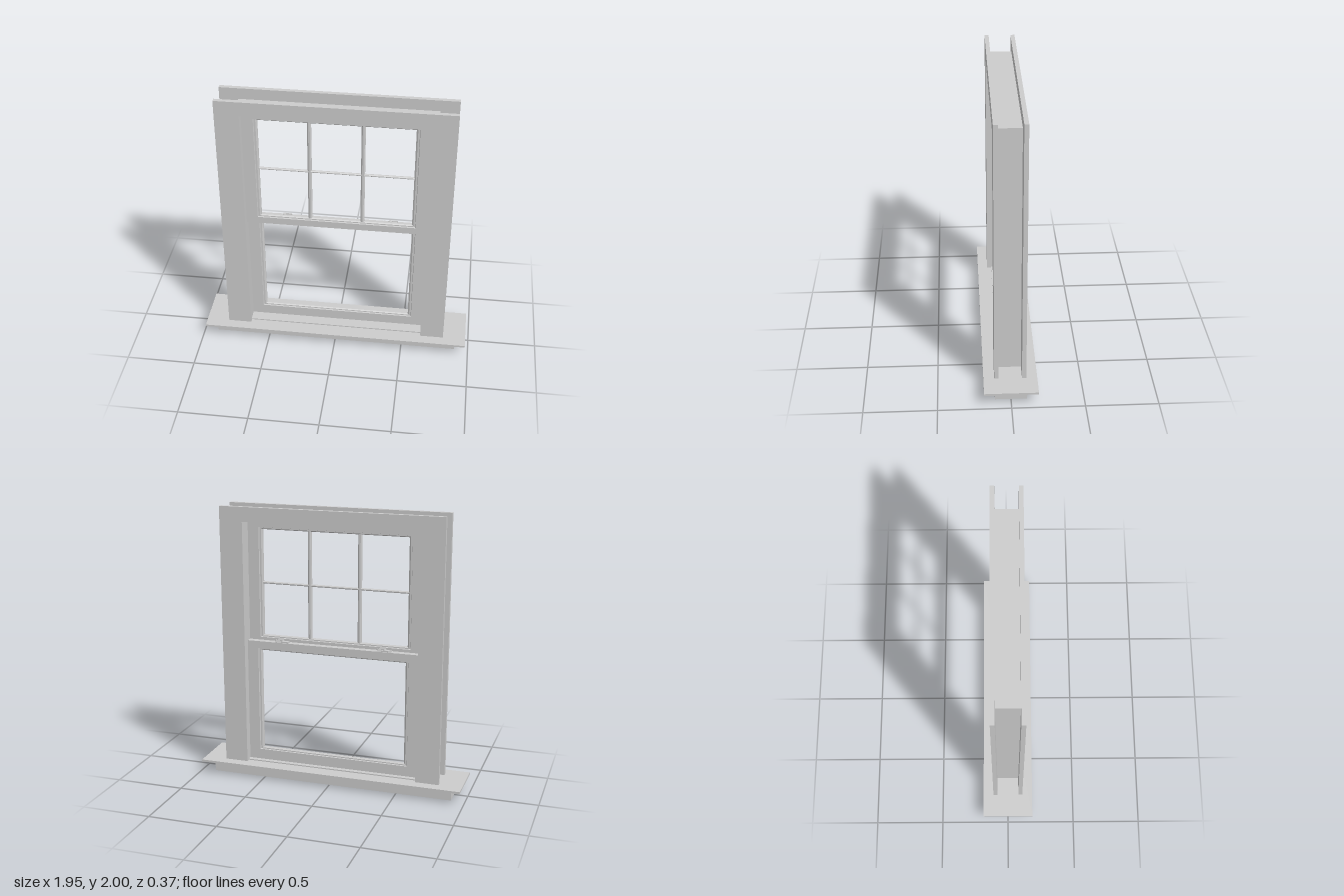
import * as THREE from 'three';

const material = new THREE.MeshStandardMaterial({ color: 0xcccccc, flatShading: true });

function add(parent, name, geometry, x = 0, y = 0, z = 0) {
  const mesh = new THREE.Mesh(geometry, material);
  mesh.name = name;
  mesh.position.set(x, y, z);
  parent.add(mesh);
  return mesh;
}

// Mitred frame: a profile of [inset fraction, z] swept counter-clockwise through the corners.
// An open frame has three sides, with its two legs ending at the bottom.
function mitredFrame(halfWidth, bottom, top, insetX, insetY, profile, open = false) {
  const w = halfWidth;
  const corners = [[w, bottom, -1, open ? 0 : 1], [w, top, -1, -1], [-w, top, 1, -1], [-w, bottom, 1, open ? 0 : 1]];
  const rings = corners.map(([x, y, dx, dy]) =>
    profile.map(([t, z]) => [x + dx * t * insetX, y + dy * t * insetY, z]));
  const n = profile.length;
  const positions = [];
  for (let i = 0; i < (open ? 3 : 4); i++) {
    const p = rings[i], q = rings[(i + 1) % 4];
    for (let j = 0; j < n; j++) {
      const k = (j + 1) % n;
      positions.push(...p[j], ...q[j], ...q[k], ...p[j], ...q[k], ...p[k]);
    }
  }
  const geometry = new THREE.BufferGeometry();
  geometry.setAttribute('position', new THREE.Float32BufferAttribute(positions, 3));
  geometry.computeVertexNormals();
  return geometry;
}

const flatProfile = (z) => [[0, -z], [0, z], [1, z], [1, -z]];

// Flat rail with a sloping glazing bead on both faces
const sashProfile = [[0, -0.023], [0, 0.023], [0.76, 0.023], [0.79, 0.013],
  [0.9, 0.013], [1, 0.006], [1, -0.006], [0.9, -0.013], [0.79, -0.013], [0.76, -0.023]];

// Eight-sided glazing bar standing along y
function bar(width, depth, length) {
  const r = 1 / Math.cos(Math.PI / 8);
  return new THREE.CylinderGeometry(r, r, length, 8)
    .rotateY(Math.PI / 8).scale(width / 2, 1, depth / 2).toNonIndexed();
}

function sashLock() {
  const lock = new THREE.Group();
  lock.name = 'sashLock';
  add(lock, 'lockBase', new THREE.BoxGeometry(0.1, 0.008, 0.028), 0, 0.004, 0);
  add(lock, 'lockPivot', new THREE.CylinderGeometry(0.011, 0.013, 0.012, 16), 0, 0.013, 0);
  add(lock, 'lockLever', new THREE.BoxGeometry(0.055, 0.006, 0.01), 0.025, 0.016, -0.004);
  return lock;
}

export function createModel() {
  const model = new THREE.Group();
  model.name = 'sashWindow';

  // Sill board on its apron
  add(model, 'apron', new THREE.BoxGeometry(1.8, 0.09, 0.22), 0, 0.045, 0);
  add(model, 'sillBoard', new THREE.BoxGeometry(1.95, 0.015, 0.37), 0, 0.0975, 0);

  // Jamb lining and the casings on both faces of the wall
  add(model, 'jambFrame', mitredFrame(0.68, 0.09, 1.92, 0.038, 0.023, flatProfile(0.08)));
  for (const side of [1, -1]) {
    add(model, side > 0 ? 'frontCasing' : 'backCasing',
      mitredFrame(0.81, 0.105, 2, 0.17, 0.105, flatProfile(0.015), true), 0, 0, side * 0.095);
  }

  // Upper sash in the front track
  const upper = new THREE.Group();
  upper.name = 'upperSash';
  upper.position.z = 0.023;
  model.add(upper);
  add(upper, 'upperSashFrame', mitredFrame(0.643, 0.992, 1.897, 0.108, 0.067, sashProfile));
  for (const x of [-0.184, 0.184]) add(upper, 'verticalMuntin', bar(0.028, 0.022, 0.78), x, 1.445, 0);
  add(upper, 'horizontalMuntin', bar(0.016, 0.022, 1.08), 0, 1.445, 0).rotation.z = Math.PI / 2;

  // Lower sash in the back track, resting on a sill strip
  const lower = new THREE.Group();
  lower.name = 'lowerSash';
  lower.position.z = -0.023;
  model.add(lower);
  add(lower, 'lowerSashFrame', mitredFrame(0.643, 0.138, 1.022, 0.108, 0.067, sashProfile));
  add(lower, 'sillStrip', new THREE.BoxGeometry(1.286, 0.03, 0.046), 0, 0.124, 0);
  for (const x of [-0.38, 0.38]) {
    const lock = sashLock();
    lock.position.set(x, 1.022, 0);
    lower.add(lock);
  }
  return model;
}
